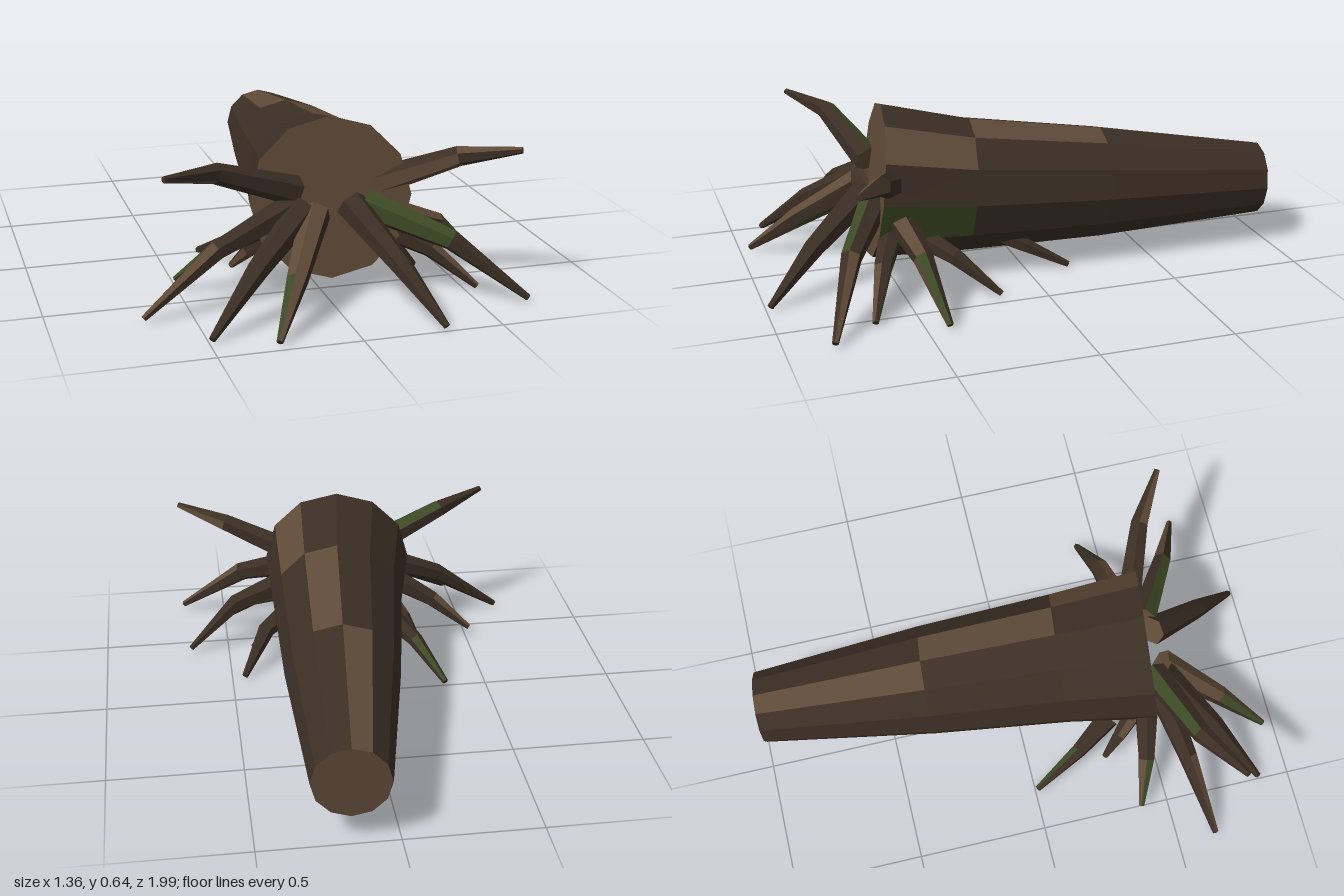
import * as THREE from 'three';

const BARK = 0, LIGHT = 1, MOSS = 2;

function makeMaterial(name, color) {
  const m = new THREE.MeshStandardMaterial({ color });
  m.name = name;
  m.flatShading = true;
  return m;
}

// Small seeded generator for the patchy bark on the roots
function seeded(seed) {
  return () => {
    seed = (seed * 16807) % 2147483647;
    return seed / 2147483647;
  };
}

// Faceted tube through the centres; colourOf(ring, side) picks the material of each cell
function taperedLimb(centres, radii, sides, colourOf, startCap, endCap) {
  const pts = centres.map((c) => new THREE.Vector3(...c));
  const last = pts.length - 1;
  const rings = pts.map((p, i) => {
    const dir = pts[Math.min(i + 1, last)].clone().sub(pts[Math.max(i - 1, 0)]).normalize();
    const up = new THREE.Vector3(0, 1, 0).addScaledVector(dir, -dir.y).normalize();
    const side = dir.clone().cross(up);
    return Array.from({ length: sides }, (_, k) => {
      const a = (k / sides) * Math.PI * 2;
      return p.clone()
        .addScaledVector(up, Math.cos(a) * radii[i])
        .addScaledVector(side, Math.sin(a) * radii[i]);
    });
  });
  const byColour = [[], [], []];
  for (let k = 0; k < sides; k++) {
    const n = (k + 1) % sides;
    for (let i = 0; i < last; i++) {
      const a = rings[i][k], b = rings[i][n], c = rings[i + 1][n], d = rings[i + 1][k];
      byColour[colourOf(i, k)].push(a, b, d, b, c, d);
    }
    byColour[startCap].push(pts[0], rings[0][n], rings[0][k]);
    byColour[endCap].push(pts[last], rings[last][k], rings[last][n]);
  }
  const geometry = new THREE.BufferGeometry().setFromPoints(byColour.flat());
  let start = 0;
  byColour.forEach((list, m) => {
    if (list.length) geometry.addGroup(start, list.length, m);
    start += list.length;
  });
  geometry.computeVertexNormals();
  return geometry;
}

export function createModel() {
  const model = new THREE.Group();
  model.name = 'fallenLog';
  const materials = [
    makeMaterial('darkBark', 0x3b2f25),
    makeMaterial('lightWood', 0x5e4a38),
    makeMaterial('moss', 0x3d4a26),
  ];

  // Trunk: twelve sides, with a few pale and mossy bark panels
  const panels = { '0,1': LIGHT, '1,0': LIGHT, '2,11': LIGHT, '0,3': MOSS };
  const trunk = new THREE.Mesh(
    taperedLimb(
      [[0.03, 0.355, 0.53], [0.07, 0.315, 0.19], [0.115, 0.28, -0.33], [0.17, 0.24, -0.985]],
      [0.293, 0.255, 0.215, 0.14], 12,
      (i, k) => panels[`${i},${k}`] ?? BARK, LIGHT, LIGHT),
    materials);
  trunk.name = 'trunk';
  model.add(trunk);

  // Roots: base, bend, tip, base radius
  const roots = [
    // left side
    [[0.09, 0.34, 0.57], [0.2, 0.18, 0.8], [0.3, 0.015, 0.985], 0.057],
    [[0.15, 0.33, 0.55], [0.42, 0.22, 0.71], [0.67, 0.02, 0.83], 0.057],
    [[0.2, 0.24, 0.5], [0.39, 0.15, 0.59], [0.545, 0.015, 0.66], 0.05],
    [[0.25, 0.27, 0.49], [0.46, 0.2, 0.46], [0.655, 0.02, 0.42], 0.055],
    [[0.2, 0.2, 0.43], [0.35, 0.14, 0.31], [0.45, 0.015, 0.165], 0.05],
    [[0.2, 0.2, 0.45], [0.3, 0.13, 0.42], [0.4, 0.02, 0.395], 0.04],
    [[0.17, 0.17, 0.15], [0.235, 0.1, 0], [0.27, 0.015, -0.16], 0.04],
    [[0.18, 0.38, 0.49], [0.48, 0.495, 0.61], [0.67, 0.535, 0.73], 0.055],
    // right side
    [[-0.04, 0.32, 0.57], [-0.17, 0.16, 0.79], [-0.28, 0.015, 0.96], 0.057],
    [[-0.08, 0.33, 0.56], [-0.29, 0.19, 0.73], [-0.49, 0.015, 0.88], 0.057],
    [[-0.11, 0.34, 0.53], [-0.4, 0.22, 0.59], [-0.675, 0.02, 0.65], 0.055],
    [[-0.18, 0.27, 0.48], [-0.36, 0.17, 0.44], [-0.51, 0.05, 0.39], 0.05],
    [[-0.16, 0.16, 0.34], [-0.25, 0.11, 0.2], [-0.34, 0.015, 0.01], 0.045],
    [[-0.16, 0.2, 0.45], [-0.23, 0.13, 0.37], [-0.28, 0.05, 0.3], 0.04],
    [[-0.1, 0.39, 0.52], [-0.41, 0.505, 0.61], [-0.61, 0.535, 0.73], 0.055],
  ];
  const random = seeded(4171);
  const rootGroup = new THREE.Group();
  rootGroup.name = 'roots';
  roots.forEach(([base, bend, tip, r], index) => {
    const pickColour = () => {
      const v = random();
      return v < 0.72 ? BARK : v < 0.93 ? LIGHT : MOSS;
    };
    const root = new THREE.Mesh(
      taperedLimb([base, bend, tip], [r, r * 0.68, 0.012], 6, pickColour, LIGHT, BARK),
      materials);
    root.name = `root${index + 1}`;
    rootGroup.add(root);
  });
  model.add(rootGroup);
  return model;
}
